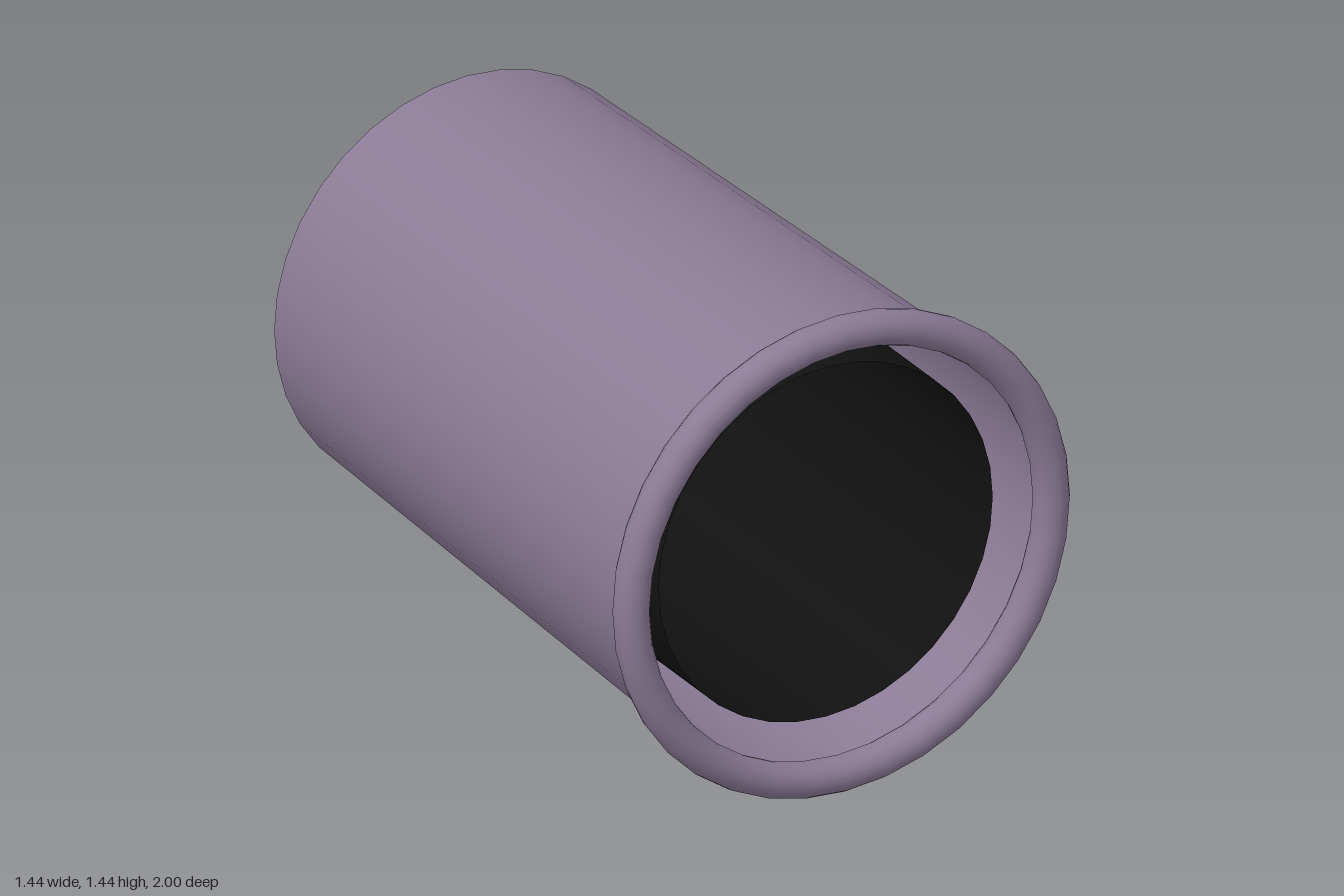
import * as THREE from 'three';

export function createModel() {
  const model = new THREE.Group();
  model.name = 'openTube';

  const purple = new THREE.MeshStandardMaterial({ color: 0x8b7b96, side: THREE.DoubleSide });
  purple.name = 'dusty purple';
  const black = new THREE.MeshStandardMaterial({ color: 0x111111, side: THREE.DoubleSide });
  black.name = 'black';

  const SIDES = 36;
  const CENTRE_Y = 0.718;

  // Open cylinder lying along z
  function openTube(name, frontRadius, backRadius, zBack, zFront, material) {
    const geometry = new THREE.CylinderGeometry(frontRadius, backRadius, zFront - zBack, SIDES, 1, true);
    geometry.rotateX(Math.PI / 2);
    const mesh = new THREE.Mesh(geometry, material);
    mesh.name = name;
    mesh.position.set(0, CENTRE_Y, (zFront + zBack) / 2);
    model.add(mesh);
  }

  // Tapered outer shell and straight dark liner, both open at the ends
  openTube('outerShell', 0.667, 0.612, -1, 0.95, purple);
  openTube('innerLiner', 0.53, 0.53, -0.92, 0.87, black);

  // Rounded rim around the front opening
  const rim = new THREE.Mesh(new THREE.TorusGeometry(0.667, 0.051, 16, SIDES), purple);
  rim.name = 'frontRim';
  rim.position.set(0, CENTRE_Y, 0.95);
  model.add(rim);

  return model;
}
